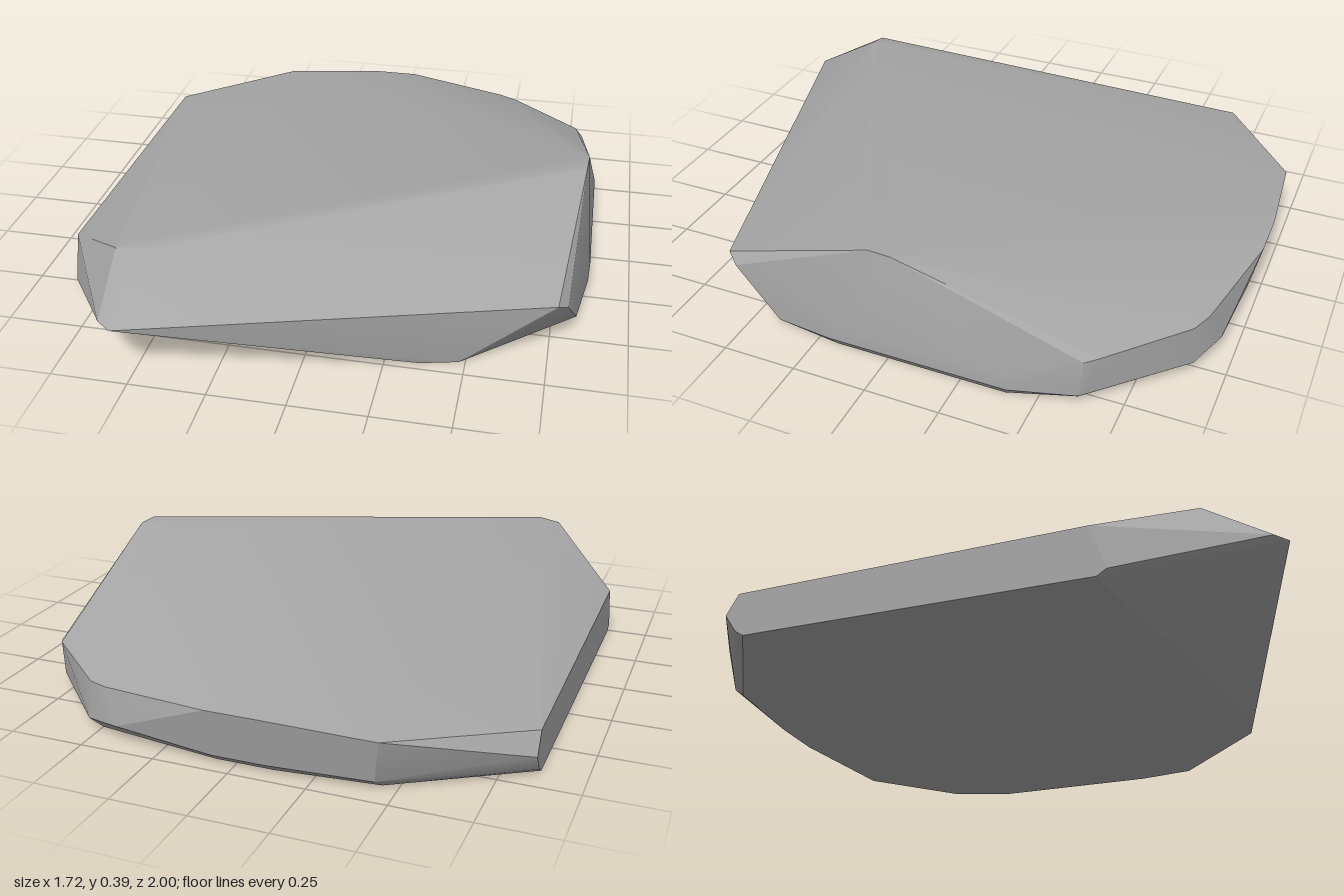
import * as THREE from 'three';
import { ConvexGeometry } from 'three/addons/geometries/ConvexGeometry.js';
import { toCreasedNormals } from 'three/addons/utils/BufferGeometryUtils.js';

// Corner rings of the slab, each corner as [x, y, z]
const crest = [
  [-0.6, 0.325, 0.75], [-0.53, 0.34, 0.72], [-0.52, 0.335, 0.76],
  [0.82, 0.39, 0.06], [0.825, 0.39, -0.02],
];
const rim = [
  [-0.59, 0.195, 0.96], [-0.54, 0.195, 1.0], [0.77, 0.195, 0.61], [0.8, 0.17, 0.57],
  [0.795, 0.16, -0.63], [0.77, 0.17, -0.67], [0.52, 0.165, -0.89], [0.45, 0.17, -0.92],
  [0.07, 0.195, -1.0], [-0.1, 0.195, -1.0], [-0.46, 0.175, -0.97],
];
const leftCut = [
  [-0.86, 0.17, 0.47], [-0.86, 0.02, 0.52], [-0.86, 0.15, -0.68],
  [-0.86, 0.08, -0.72], [-0.86, 0.02, -0.68],
];
const skirt = [
  [0.83, 0.02, 0.4], [0.86, 0.03, 0.2], [0.862, 0.08, 0.17], [0.86, 0.03, -0.41], [0.86, 0.09, -0.4],
  [0.8, 0.03, -0.62], [0.53, 0.04, -0.9], [0.4, 0.06, -0.955],
  [0.07, 0.03, -0.965], [-0.1, 0.03, -0.965], [-0.44, 0.03, -0.94],
];
const base = [
  [-0.86, 0, 0.49], [0.36, 0, 0.72], [0.48, 0, 0.69], [0.81, 0, 0.38], [0.84, 0, 0.18],
  [0.84, 0, -0.4], [0.77, 0, -0.61], [0.5, 0, -0.87], [0.07, 0, -0.93],
  [-0.12, 0, -0.93], [-0.45, 0, -0.9], [-0.86, 0, -0.65],
];

export function createModel() {
  const group = new THREE.Group();
  group.name = 'stoneSlab';

  const stone = new THREE.MeshStandardMaterial({ color: 0xa6a6a6 });
  stone.name = 'greyStone';

  // One convex boulder; shallow facets blend, steep ones stay crisp
  const points = [crest, rim, leftCut, skirt, base].flat().map((p) => new THREE.Vector3(...p));
  const rock = new THREE.Mesh(toCreasedNormals(new ConvexGeometry(points), 0.38), stone);
  rock.name = 'rock';
  group.add(rock);
  return group;
}
